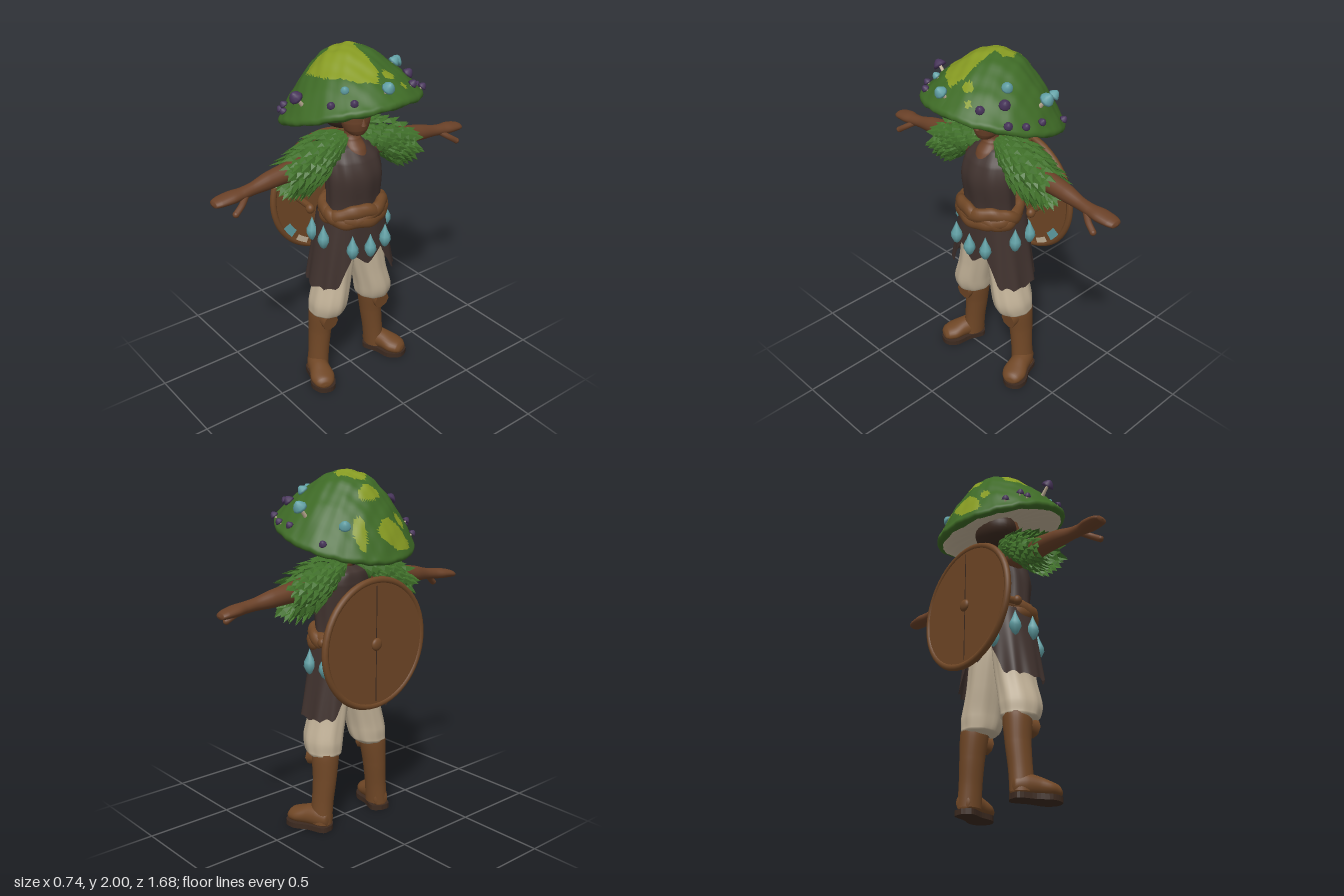
import * as THREE from 'three';
import { mergeGeometries } from 'three/addons/utils/BufferGeometryUtils.js';
import { ParametricGeometry } from 'three/addons/geometries/ParametricGeometry.js';

const mat = (name, color, side = THREE.FrontSide) =>
  Object.assign(new THREE.MeshStandardMaterial({ color, side }), { name });
const V = (x, y, z) => new THREE.Vector3(x, y, z);

export function createModel() {
  const M = {
    moss: mat('moss green', 0x3e6a26), lime: mat('lime patch', 0x869a22),
    leaf: mat('leaf green', 0x40702a, THREE.DoubleSide), cream: mat('cream', 0xc2b298),
    skin: mat('skin brown', 0x6a4128), leather: mat('leather brown', 0x704726),
    cloth: mat('dark cloth', 0x40322e, THREE.DoubleSide), teal: mat('teal', 0x61a0a5, THREE.DoubleSide),
    purple: mat('purple', 0x47345a), dark: mat('dark brown', 0x3c2a20),
  };
  // The figure is built facing +z, then turned to face +x
  const body = new THREE.Group();
  body.name = 'figure';
  body.rotation.y = Math.PI / 2;
  const add = (name, geo, material, parent = body) => {
    const m = new THREE.Mesh(geo, material);
    m.name = name;
    parent.add(m);
    return m;
  };
  // Smooth skin through elliptical rings [along, cx, cz, rx, rz], rising along y
  const loft = (rings, slices = 28, stacks = 28, wob = 0) => {
    const c = new THREE.CatmullRomCurve3(rings.map(r => V(r[1], r[0], r[2])));
    const q = new THREE.CatmullRomCurve3(rings.map(r => V(r[3], 0, r[4])));
    return new ParametricGeometry((u, v, t) => {
      const p = c.getPoint(v), r = q.getPoint(v), a = u * Math.PI * 2;
      const w = 1 + wob * Math.sin(a * 9 + v * 4);
      t.set(p.x + Math.sin(a) * Math.max(0.001, r.x) * w, p.y, p.z + Math.cos(a) * Math.max(0.001, r.z) * w);
    }, slices, stacks);
  };
  const ball = (x, y, z, rx, ry, rz) =>
    new THREE.SphereGeometry(1, 28, 20).scale(rx, ry, rz).translate(x, y, z);

  // Head, hair and neck
  add('head', loft([[1.525, 0, 0.06, 0.001, 0.001], [1.532, 0, 0.06, 0.035, 0.035], [1.56, 0, 0.05, 0.066, 0.062],
    [1.61, 0, 0.04, 0.086, 0.08], [1.66, 0, 0.035, 0.092, 0.083], [1.72, 0, 0.02, 0.085, 0.08]]), M.skin);
  add('nose', new THREE.ConeGeometry(0.018, 0.06, 8).scale(1, 1, 0.9).translate(0, 1.623, 0.115), M.skin);
  add('hair', ball(0, 1.64, -0.04, 0.14, 0.1, 0.105), M.dark);
  add('neck', loft([[1.38, 0, 0.07, 0.05, 0.06], [1.45, 0, 0.04, 0.06, 0.06],
    [1.5, 0, 0.01, 0.05, 0.05], [1.6, 0, 0.02, 0.05, 0.05]]), M.skin);

  // Tunic, twisted sash and split skirt
  add('tunic', loft([[1.0, 0, 0.02, 0.18, 0.13], [1.15, 0, 0.03, 0.165, 0.115], [1.3, 0, 0.035, 0.168, 0.125],
    [1.4, 0, 0.015, 0.155, 0.115], [1.46, 0, -0.01, 0.11, 0.085], [1.49, 0, -0.01, 0.05, 0.045]], 48, 28, 0.02), M.cloth);
  for (const k of [0, 1, 2]) add('sashWrap', new ParametricGeometry((u, v, t) => {
    const a = u * Math.PI * 2, b = v * Math.PI * 2;
    const lump = 1 + 0.12 * Math.sin(a * 7 + k * 2) * Math.sin(b + a * 3);
    const out = 0.032 * Math.cos(b) * lump + 0.004 * Math.sin(a * 5 + k);
    t.set(Math.sin(a) * (0.172 + out), 1.093 + 0.03 * Math.sin(a * (k < 2 ? 2 : 1) + k * 2.3) + 0.042 * Math.sin(b) * lump,
      0.028 + Math.cos(a) * (0.142 + out));
  }, 72, 14), M.leather);
  const hemAt = f => {
    const k = [[0, 0.78], [0.34, 0.85], [0.68, 0.665], [1.6, 0.65]];
    const i = f < k[1][0] ? 0 : f < k[2][0] ? 1 : 2;
    return k[i][1] + (k[i + 1][1] - k[i][1]) * (f - k[i][0]) / (k[i + 1][0] - k[i][0]);
  };
  const boxy = v => Math.sign(v) * Math.abs(v) ** 0.75;
  const skirtPoint = (a, y) => {
    const d = (1.08 - y) / 0.43, w = 1 + 0.025 * d * Math.sin(a * 11);
    return V(boxy(Math.sin(a)) * (0.185 + 0.083 * d) * w, y, boxy(Math.cos(a)) * (0.15 + 0.02 * d) * w);
  };
  add('skirt', new ParametricGeometry((u, v, t) => {
    const a = u * Math.PI * 2, f = Math.asin(Math.min(1, Math.abs(Math.sin(a))));
    const hem = hemAt(f) + 0.015 * Math.abs(Math.sin(a * 8));
    t.copy(skirtPoint(a, hem + (1.08 - hem) * v));
  }, 144, 12), M.cloth);

  // Hanging teardrops around the skirt: [angle, height]
  const drop = new THREE.LatheGeometry([[0, -0.07], [0.018, -0.055], [0.034, -0.022], [0.031, 0.005], [0.014, 0.042], [0, 0.08]]
    .map(p => new THREE.Vector2(...p)), 8);
  for (const [a, y] of [[0, 0.9], [0.41, 0.92], [1.4, 0.965], [1.93, 0.965], [2.7, 0.9]]) for (const s of a ? [1, -1] : [1]) {
    const p = skirtPoint(a * s, y);
    add('teardrop', drop, M.teal).position.set(p.x * 1.06, y, p.z * 1.06 + (a < 1 ? 0.015 : 0));
  }

  // Pieces that come in pairs
  const sole = new THREE.Shape(new THREE.SplineCurve([[0, -0.122], [0.056, -0.095], [0.058, 0], [0.076, 0.09], [0.045, 0.152],
    [-0.025, 0.155], [-0.068, 0.09], [-0.055, 0], [-0.056, -0.095], [0, -0.122]].map(p => new THREE.Vector2(...p))).getPoints(40));
  for (const s of [1, -1]) {
    const side = new THREE.Group();
    side.name = s > 0 ? 'leftLimbs' : 'rightLimbs';
    body.add(side);
    // Arm and hand
    const arm = [[0.12, 1.42, -0.01, 0.07, 0.07], [0.3, 1.4, -0.015, 0.06, 0.06], [0.42, 1.388, -0.02, 0.052, 0.052],
      [0.52, 1.376, -0.02, 0.046, 0.046], [0.62, 1.362, -0.015, 0.033, 0.034], [0.68, 1.355, -0.015, 0.031, 0.038],
      [0.74, 1.35, -0.02, 0.03, 0.05], [0.8, 1.343, -0.025, 0.024, 0.047], [0.832, 1.337, -0.028, 0.017, 0.034],
      [0.84, 1.336, -0.028, 0.001, 0.001]].map(([x, y, z, ry, rz]) => [x, -s * y, z, ry, rz]);
    add('arm', loft(arm, 20, 40).rotateZ(-s * Math.PI / 2), M.skin, side);
    const thumb = new THREE.CatmullRomCurve3([V(s * 0.66, 1.345, 0.0), V(s * 0.705, 1.315, 0.03), V(s * 0.75, 1.285, 0.045)]);
    add('thumb', new THREE.TubeGeometry(thumb, 8, 0.017, 10), M.skin, side);
    add('thumbTip', ball(s * 0.75, 1.285, 0.045, 0.017, 0.017, 0.017), M.skin, side);
    // Trousers
    add('trouserLeg', loft([[0.43, s * 0.175, -0.03, 0.07, 0.075], [0.455, s * 0.168, -0.012, 0.095, 0.11],
      [0.53, s * 0.16, 0, 0.102, 0.125], [0.68, s * 0.125, 0, 0.097, 0.12], [0.85, s * 0.1, 0, 0.102, 0.12],
      [1.02, s * 0.085, 0, 0.09, 0.11]], 36, 28, 0.02), M.cream, side);
    // Boot
    add('bootShaft', loft([[0.04, s * 0.215, -0.04, 0.058, 0.07], [0.15, s * 0.205, -0.042, 0.058, 0.067],
      [0.3, s * 0.19, -0.045, 0.064, 0.072], [0.43, s * 0.18, -0.04, 0.074, 0.08], [0.46, s * 0.178, -0.04, 0.072, 0.078]]), M.leather, side);
    add('kneePad', new THREE.CylinderGeometry(0.052, 0.045, 0.05, 8).rotateX(Math.PI / 2)
      .rotateX(0.1).translate(s * 0.19, 0.405, 0.04), M.leather, side);
    const foot = loft([[-0.118, 0, -0.06, 0.001, 0.001], [-0.108, 0, -0.062, 0.04, 0.045], [-0.05, 0, -0.07, 0.057, 0.065],
      [0.02, 0, -0.068, 0.06, 0.058], [0.085, 0, -0.057, 0.07, 0.047], [0.13, 0, -0.05, 0.056, 0.038],
      [0.15, 0, -0.044, 0.034, 0.022], [0.155, 0, -0.04, 0.001, 0.001]]).rotateX(Math.PI / 2);
    add('bootFoot', foot.rotateY(s * 0.36).translate(s * 0.238, 0.006, 0.004), M.leather, side);
    const soleGeo = new THREE.ExtrudeGeometry(sole, { depth: 0.03, bevelEnabled: false }).rotateX(Math.PI / 2);
    add('sole', soleGeo.rotateY(s * 0.36).translate(s * 0.238, 0.03, 0.004), M.dark, side);
    // Leafy shoulder
    add('shoulderPad', ball(0, 0, 0, 0.14, 0.07, 0.085).rotateZ(-s * 0.4).translate(s * 0.23, 1.42, -0.012), M.leaf, side);
    const leaves = [];
    for (let i = 0; i < 10; i++) for (let j = 0; j < 17; j++) {
      const t = i / 9, a = (j + (i % 2) / 2) / 17 * Math.PI * 2, r = 0.068 + 0.05 * Math.sin(Math.PI * t ** 0.85);
      const jit = Math.sin(i * 12.9 + j * 78.2), ry = Math.cos(a), rz = Math.sin(a);
      const n = V(s * 0.1, ry, rz).normalize();
      const p = V(s * (0.095 + 0.265 * t - 0.085 * (1 - t) * ry), 1.46 - 0.085 * t + ry * r, -0.015 + rz * r);
      const d = V(s * 0.75, -0.42, 0).addScaledVector(n, 0.32 + 0.16 * jit).normalize();
      const x = new THREE.Vector3().crossVectors(d, n).normalize();
      const len = 0.1 + 0.016 * jit, w = 0.027;
      const g = new THREE.BufferGeometry();
      // Folded leaf: root, left, rib, right, tip
      const pts = [[0, 0, 0], [-w, len * 0.5, -0.006], [0, len * 0.5, 0.008], [w, len * 0.5, -0.006], [0, len, -0.004]];
      g.setAttribute('position', new THREE.Float32BufferAttribute([0, 2, 1, 0, 3, 2, 1, 2, 4, 2, 3, 4].flatMap(k => pts[k]), 3));
      g.computeVertexNormals();
      g.applyMatrix4(new THREE.Matrix4().makeBasis(x, d, new THREE.Vector3().crossVectors(x, d)).setPosition(p));
      leaves.push(g);
    }
    add('shoulderLeaves', mergeGeometries(leaves), M.leaf, side);
    // Shield brace
    const brace = new THREE.LineCurve3(V(s * 0.19, 1.09, -0.235), V(s * 0.21, 1.1, -0.07));
    add('shieldBrace', new THREE.TubeGeometry(brace, 2, 0.02, 8), M.leather, side);
    add('braceKnob', ball(s * 0.222, 1.1, -0.07, 0.024, 0.028, 0.026), M.leather, side);
  }

  // Round shield on the back
  const shield = new THREE.Group();
  shield.name = 'shield';
  shield.position.set(0, 1.092, -0.245);
  body.add(shield);
  add('shieldDisc', new THREE.CylinderGeometry(0.355, 0.355, 0.025, 56).rotateX(Math.PI / 2), M.leather, shield);
  add('shieldRim', new THREE.TorusGeometry(0.348, 0.019, 8, 56), M.leather, shield);
  add('shieldBoss', ball(0, 0, -0.015, 0.035, 0.035, 0.018), M.leather, shield);
  for (const z of [-0.012, 0.012])
    add('plankSeam', new THREE.BoxGeometry(0.005, 0.64, 0.004).translate(0, 0, z), M.dark, shield);
  for (const [a, c] of [[3.65, M.teal], [5.48, M.teal], [4.02, M.cream], [5.11, M.cream]])
    add('shieldPatch', new THREE.RingGeometry(c === M.teal ? 0.29 : 0.305, 0.338, 10, 1, a, 0.26).translate(0, 0, 0.017), c, shield);

  // Mushroom cap hat, tilted back
  const tilt = -0.303, hatY = 1.675;
  const rise = new THREE.SplineCurve([[0.355, -0.03], [0.38, -0.022], [0.385, 0], [0.365, 0.028], [0.32, 0.09], [0.27, 0.15],
    [0.2, 0.223], [0.13, 0.283], [0.06, 0.315], [0, 0.322]].map(p => new THREE.Vector2(...p)));
  const placeHat = g => g.rotateX(tilt).translate(0, hatY, 0);
  const dome = new THREE.LatheGeometry(rise.getPoints(48), 112);
  const pos = dome.attributes.position;
  for (let i = 0; i < pos.count; i++) {
    const [x, y, z] = [pos.getX(i), pos.getY(i), pos.getZ(i)];
    const b = 0.005 * Math.sin(x * 38 + 1) * Math.sin(z * 34) + 0.003 * Math.sin(x * 70 + z * 20) * Math.sin(z * 65 - x * 25);
    pos.setXYZ(i, x, y + b, z + 0.07 * Math.max(0, y));
  }
  dome.computeVertexNormals();
  placeHat(dome);
  // Lime patches, chosen face by face from a plan outline and ovals
  const plan = [[0.045, -0.13], [0.09, -0.06], [0.075, 0.005], [0.015, 0.005], [0.015, 0.205], [-0.03, 0.27],
    [-0.135, 0.205], [-0.22, 0.07], [-0.22, -0.085], [-0.165, -0.115], [-0.09, -0.07], [-0.02, -0.14]];
  const ovals = [[-0.07, -0.31, 0.11, 0.032], [0.01, -0.2, 0.07, 0.028], [0.14, -0.28, 0.035, 0.04],
    [0.06, 0.23, 0.032, 0.026], [0.12, 0.285, 0.016, 0.016], [-0.16, -0.25, 0.03, 0.02]];
  const isLime = (x, z) => {
    let inside = false;
    plan.forEach(([ax, az], i) => {
      const [bx, bz] = plan[(i + 1) % plan.length];
      if (az > z !== bz > z && x < ax + (bx - ax) * (z - az) / (bz - az)) inside = !inside;
    });
    return inside || ovals.some(o => ((x - o[0]) / o[2]) ** 2 + ((z - o[1]) / o[3]) ** 2 < 1);
  };
  const faces = [[], []], idx = dome.index.array;
  for (let i = 0; i < idx.length; i += 3) {
    const f = [idx[i], idx[i + 1], idx[i + 2]];
    const mean = k => f.reduce((sum, v) => sum + pos.array[v * 3 + k], 0) / 3;
    faces[isLime(mean(0), mean(2)) && mean(1) > 1.6 ? 1 : 0].push(...f);
  }
  dome.setIndex([...faces[0], ...faces[1]]);
  dome.addGroup(0, faces[0].length, 0);
  dome.addGroup(faces[0].length, faces[1].length, 1);
  add('hatDome', dome, [M.moss, M.lime]);
  // Softly pleated underside
  const gills = new THREE.LatheGeometry([[0, 0.022], [0.12, 0.02], [0.2, 0.015], [0.28, 0.004], [0.34, -0.016], [0.358, -0.03]]
    .map(p => new THREE.Vector2(...p)), 120);
  const gp = gills.attributes.position;
  for (let i = 0; i < gp.count; i++) {
    const x = gp.getX(i), z = gp.getZ(i);
    gp.setY(i, gp.getY(i) + 0.002 * Math.sin(Math.atan2(x, z) * 20) * Math.min(1, Math.hypot(x, z) * 4));
  }
  gills.computeVertexNormals();
  add('hatGills', placeHat(gills), M.cream);

  // Little mushrooms growing on the hat: [x, z, size, colour, stem height]
  const capGeo = new THREE.LatheGeometry([[0, 0.05], [0.6, 0], [1, -0.1], [0.95, 0.25], [0.6, 0.75], [0.25, 1.05], [0, 1.1]]
    .map(p => new THREE.Vector2(...p)), 10);
  const stemGeo = new THREE.CylinderGeometry(0.22, 0.32, 2, 8);
  const ray = new THREE.Raycaster(), target = new THREE.Mesh(dome, [M.moss, M.lime]);
  [[-0.33, 0.035, 0.036, 'purple', 1.6], [0.3, -0.035, 0.038, 'teal', 1.5], [-0.02, 0.31, 0.034, 'teal', 1.1],
    [0.2, -0.23, 0.032, 'teal', 0.3], [0.2, 0.1, 0.03, 'teal', 0.2], [0.245, 0.16, 0.03, 'purple', 0.2],
    [0.31, -0.19, 0.021, 'purple', 0.5], [0.355, 0.015, 0.021, 'purple', 0.5], [0.345, 0.115, 0.021, 'purple', 0.5],
    [0.31, 0.2, 0.023, 'purple', 0.5], [0.185, 0.265, 0.024, 'purple', 0.5], [-0.19, 0.205, 0.022, 'teal', 0.5],
    [-0.19, 0.28, 0.021, 'purple', 0.5], [-0.27, 0.2, 0.021, 'purple', 0.5], [-0.29, -0.21, 0.021, 'purple', 0.5],
    [-0.32, -0.13, 0.022, 'purple', 0.5], [-0.345, -0.1, 0.02, 'purple', 0.5]].forEach(([x, z, size, colour, stem]) => {
    ray.set(V(x, 3, z), V(0, -1, 0));
    const hit = ray.intersectObject(target)[0];
    if (!hit) return;
    const shroom = new THREE.Group();
    shroom.name = 'hatMushroom';
    shroom.position.copy(hit.point);
    const lean = V(x, 0, z).normalize().multiplyScalar(0.65).add(V(0, 0.8, 0)).normalize();
    shroom.quaternion.setFromUnitVectors(V(0, 1, 0), lean);
    shroom.scale.setScalar(size);
    add('stem', stemGeo, M.cream, shroom).position.y = stem - 0.8;
    add('cap', capGeo, M[colour], shroom).position.y = stem;
    body.add(shroom);
  });

  const model = new THREE.Group();
  model.name = 'mushroomWarrior';
  model.add(body);
  return model;
}
